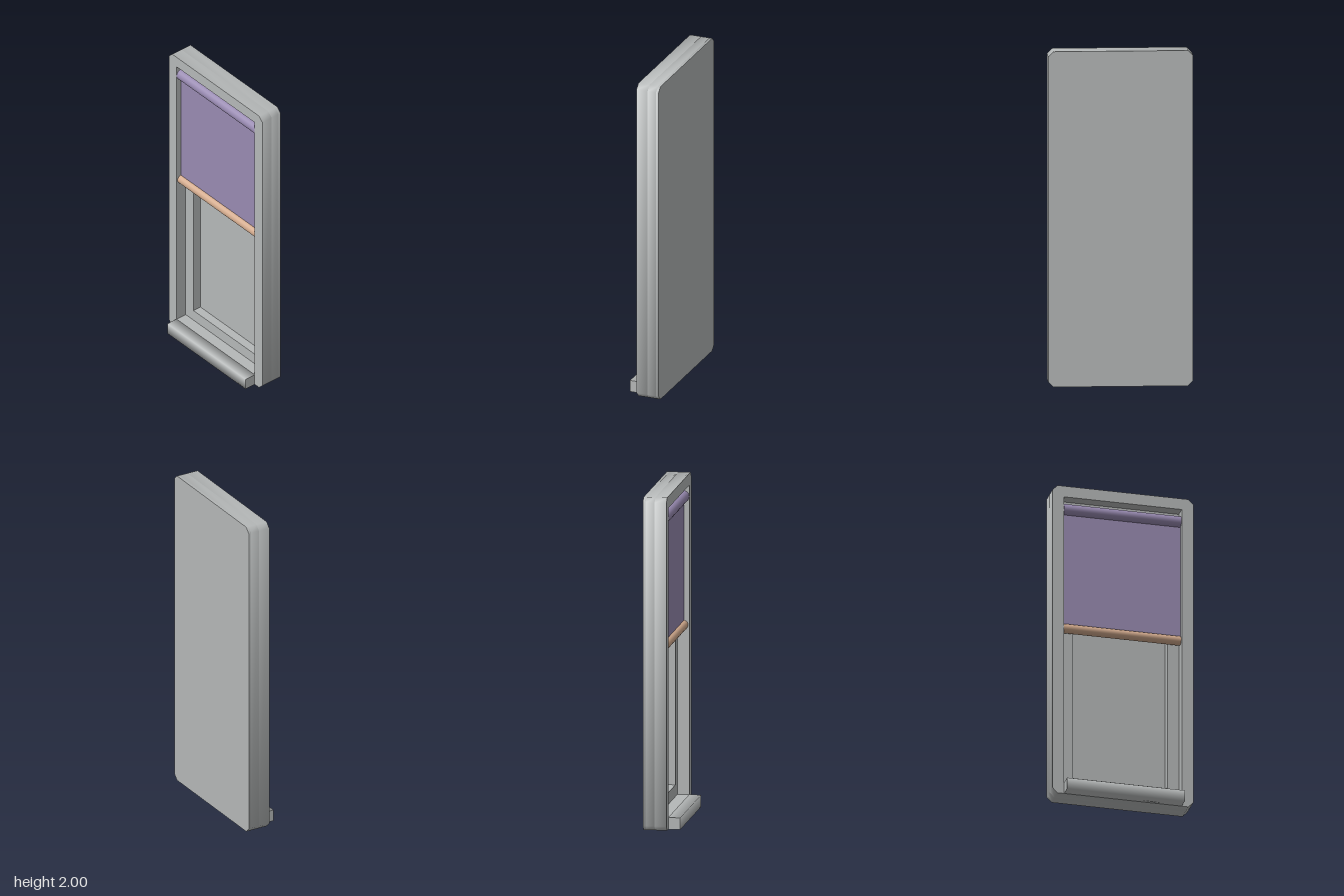
import * as THREE from 'three';
import { toCreasedNormals } from 'three/addons/utils/BufferGeometryUtils.js';

const H = 2, HALF = 0.428, CHAMFER = 0.03;

const material = (name, color, extra = {}) => {
  const m = new THREE.MeshStandardMaterial({ color, ...extra });
  m.name = name;
  return m;
};

export function createModel() {
  const group = new THREE.Group();
  const grey = material('frame grey', 0xb5b8b8);
  const purple = material('blind purple', 0x988ab1);
  const tan = material('bar tan', 0xd2aa8d);

  const add = (name, geometry, mat, x = 0, y = 0, z = 0) => {
    const mesh = new THREE.Mesh(geometry, mat);
    mesh.name = name;
    mesh.position.set(x, y, z);
    group.add(mesh);
    return mesh;
  };

  // Chamfered upright slab from x0 to x1, with an opening inset by border
  const slab = (name, x0, x1, border) => {
    const w = HALF, c = CHAMFER;
    const shape = new THREE.Shape([
      [-w + c, 0], [w - c, 0], [w, c], [w, H - c],
      [w - c, H], [-w + c, H], [-w, H - c], [-w, c],
    ].map(([a, b]) => new THREE.Vector2(a, b)));
    if (border) {
      const o = w - border;
      shape.holes.push(new THREE.Path([
        [-o, border], [-o, H - border], [o, H - border], [o, border],
      ].map(([a, b]) => new THREE.Vector2(a, b))));
    }
    const geo = new THREE.ExtrudeGeometry(shape, { depth: x1 - x0, bevelEnabled: false });
    geo.rotateY(Math.PI / 2);
    add(name, toCreasedNormals(geo, 1), grey, x0);
  };

  // Horizontal rod along z; four sides give a square section
  const rod = (name, mat, x, y, radius, length, sides) => {
    const geo = new THREE.CylinderGeometry(radius, radius, length, sides);
    if (sides === 4) geo.rotateY(Math.PI / 4);
    geo.rotateX(Math.PI / 2);
    add(name, geo, mat, x, y);
  };

  // Window casing: outer frame, stepped inner frame, closed pane
  slab('outerFrame', -0.035, 0.036, 0.07);
  slab('innerFrame', 0.036, 0.09, 0.14);
  slab('pane', 0.09, 0.106, 0);

  // Sill ledge
  rod('sill', grey, -0.0705, 0.0355, 0.0355 * Math.SQRT2, 0.716, 4);

  // Roller blind: roll, hanging cloth, bottom bar
  rod('blindRoll', purple, 0, 1.862, 0.035, 0.714, 24);
  add('blindCloth', new THREE.BoxGeometry(0.006, 0.76, 0.714), purple, 0, 1.48);
  rod('blindBar', tan, 0, 1.09, 0.028, 0.714, 24);

  return group;
}
